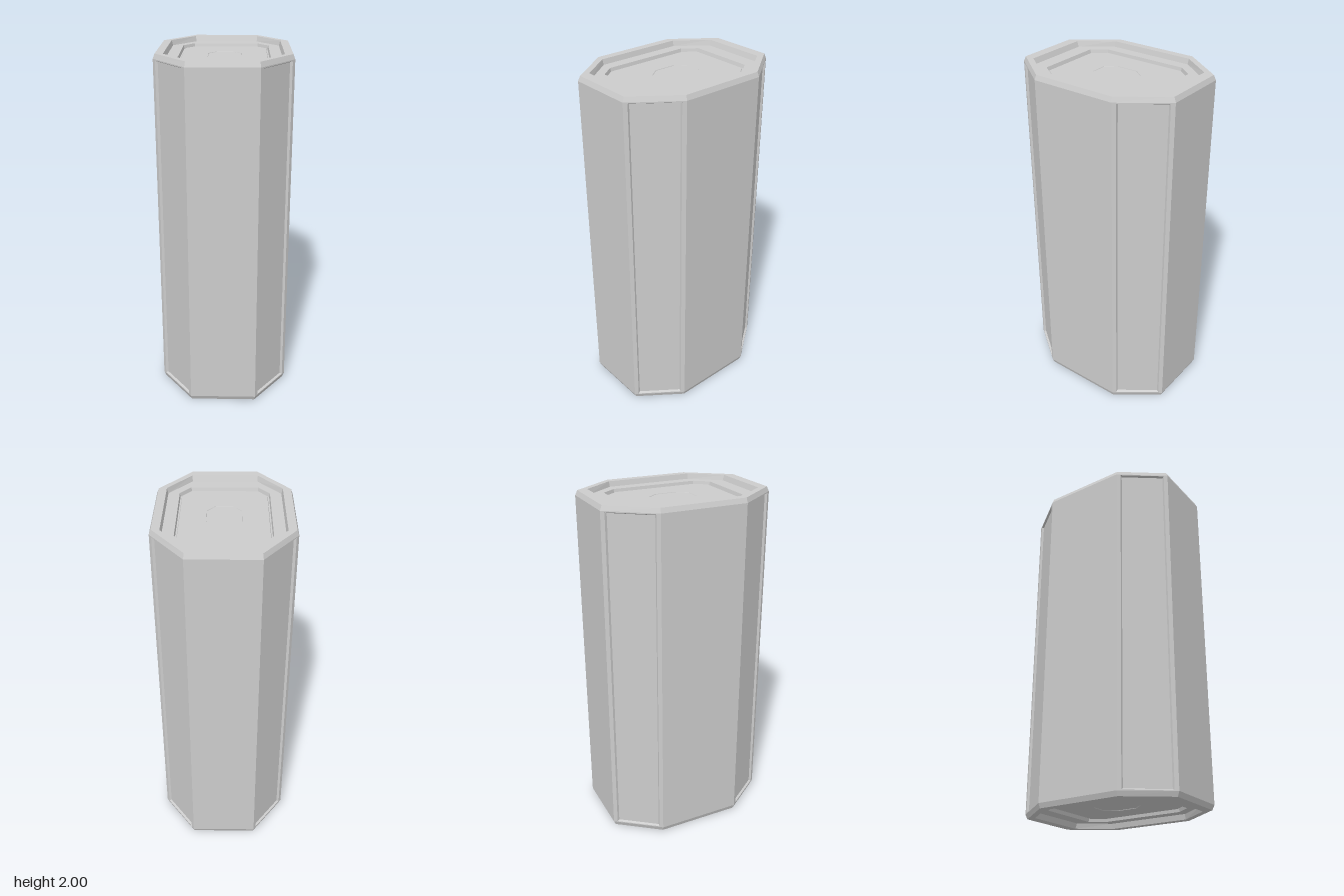
import * as THREE from 'three';

const grey = new THREE.MeshStandardMaterial({ color: 0xcccccc });
grey.name = 'plainGrey';

// Collects quads and triangles with their own corners, so every facet stays flat
function facets(name, build) {
  const pos = [];
  const tri = (a, b, c) => pos.push(...a, ...b, ...c);
  const quad = (a, b, c, d) => { tri(a, b, c); tri(a, c, d); };
  build(quad, tri);
  const geo = new THREE.BufferGeometry();
  geo.setAttribute('position', new THREE.Float32BufferAttribute(pos, 3));
  geo.computeVertexNormals();
  const mesh = new THREE.Mesh(geo, grey);
  mesh.name = name;
  return mesh;
}

// Eight-sided ring: half width w, half depth d, corner cuts at x = cx and z = cz
function ring([w, d, cx, cz, y]) {
  return [[cx, d], [w, cz], [w, -cz], [cx, -d], [-cx, -d], [-w, -cz], [-w, cz], [-cx, d]]
    .map(([x, z]) => [x, y, z]);
}

const LOW = 0.027, HIGH = 2 - LOW;

// End cap: bevel, rim, recess, inner step, groove, plateau and centre plate
const CAP = [
  [0.375, 0.5, 0.19, 0.25, HIGH],
  [0.365, 0.488, 0.186, 0.247, 2],
  [0.32, 0.43, 0.187, 0.252, 2],
  [0.313, 0.418, 0.185, 0.25, 1.97],
  [0.25, 0.334, 0.188, 0.253, 1.97],
  [0.246, 0.328, 0.187, 0.251, 1.95],
  [0.239, 0.319, 0.185, 0.249, 1.95],
  [0.236, 0.315, 0.184, 0.247, 1.955],
  [0.094, 0.124, 0.048, 0.064, 1.955],
  [0.093, 0.122, 0.047, 0.063, 1.952],
];

function endCap(name) {
  return facets(name, (quad, tri) => {
    const rings = CAP.map(ring);
    for (let r = 0; r < rings.length - 1; r++) {
      for (let i = 0; i < 8; i++) {
        const j = (i + 1) % 8;
        quad(rings[r][i], rings[r][j], rings[r + 1][j], rings[r + 1][i]);
      }
    }
    const last = rings.at(-1);
    for (let i = 0; i < 8; i++) tri(last[i], last[(i + 1) % 8], [0, 1.952, 0]);
  });
}

// One upright side between neighbouring corners; diagonal sides get a sunken panel
function side(name, a, b, sunken) {
  return facets(name, (quad) => {
    const dir = new THREE.Vector2(b[0] - a[0], b[2] - a[2]).normalize();
    const nx = -dir.y, nz = dir.x;
    const frame = (t, dy, depth) => {
      const at = (s, y) => [
        a[0] + (b[0] - a[0]) * s - nx * depth, y, a[2] + (b[2] - a[2]) * s - nz * depth,
      ];
      return [at(t, LOW + dy), at(1 - t, LOW + dy), at(1 - t, HIGH - dy), at(t, HIGH - dy)];
    };
    const loops = [frame(0, 0, 0)];
    if (sunken) loops.push(frame(0.075, 0.006, 0), frame(0.1, 0.012, 0.012));
    for (let k = 0; k < loops.length - 1; k++) {
      for (let i = 0; i < 4; i++) {
        const j = (i + 1) % 4;
        quad(loops[k][i], loops[k][j], loops[k + 1][j], loops[k + 1][i]);
      }
    }
    quad(...loops.at(-1));
  });
}

export function createModel() {
  const model = new THREE.Group();
  model.name = 'octagonalCanister';

  // Eight sides, alternating sunken diagonal panels and plain walls
  const corners = ring(CAP[0]);
  for (let i = 0; i < 8; i++) {
    const sunken = i % 2 === 0;
    model.add(side(sunken ? 'cornerPanel' : 'sideWall', corners[i], corners[(i + 1) % 8], sunken));
  }

  // Matching stepped caps, the lower one turned over
  const bottom = endCap('bottomCap');
  bottom.rotation.x = Math.PI;
  bottom.position.y = 2;
  model.add(endCap('topCap'), bottom);
  return model;
}
